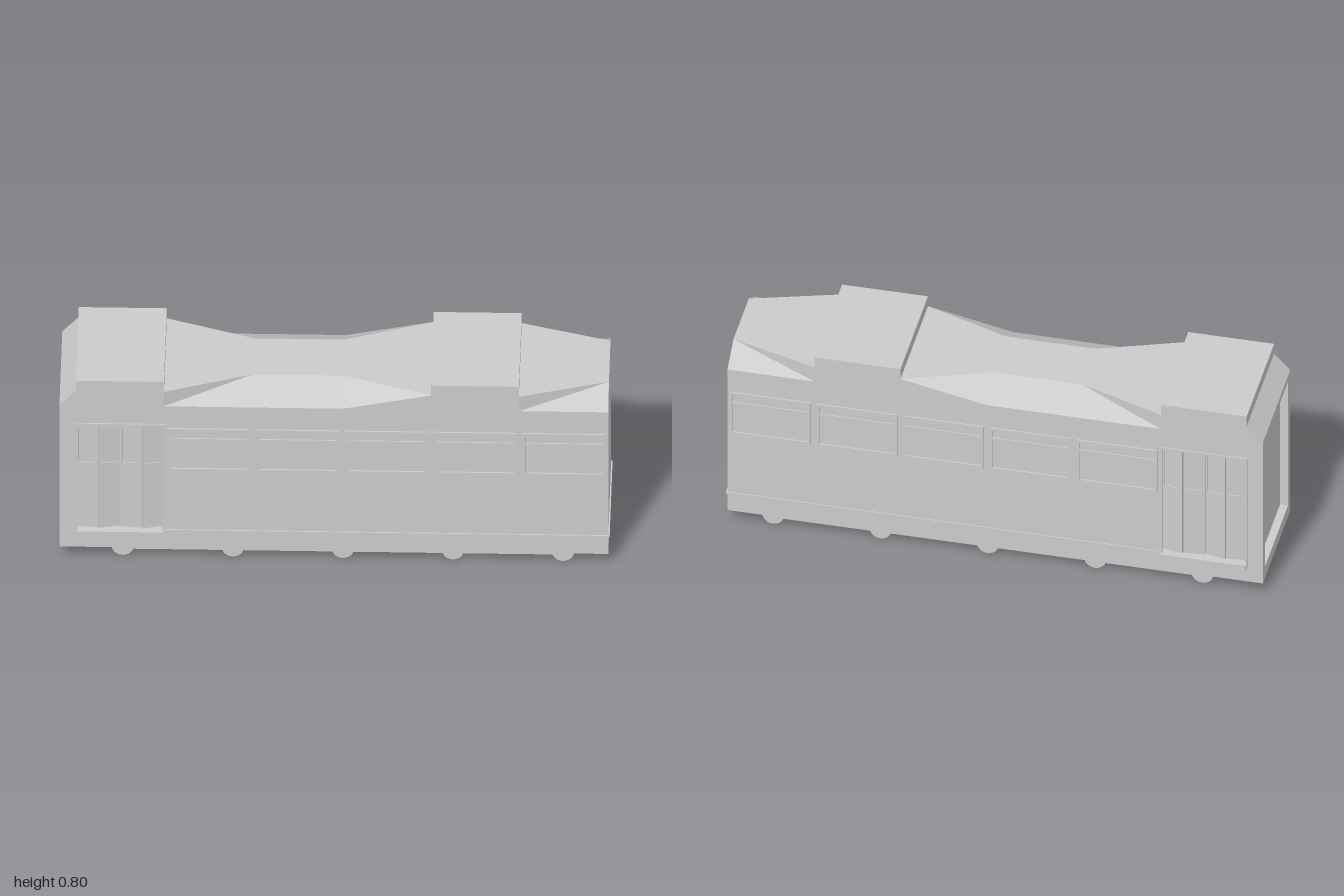
import * as THREE from 'three';

const HALF = 0.225; // half width of the body
const mat = new THREE.MeshStandardMaterial({ color: 0xcccccc, flatShading: true });
const smooth = new THREE.MeshStandardMaterial({ color: 0xcccccc });

function add(parent, name, geometry, material = mat) {
  const mesh = new THREE.Mesh(geometry, material);
  mesh.name = name;
  parent.add(mesh);
  return mesh;
}

// Box given by its minimum and maximum corners
function block(parent, name, [x0, y0, z0], [x1, y1, z1]) {
  const mesh = add(parent, name, new THREE.BoxGeometry(x1 - x0, y1 - y0, Math.abs(z1 - z0)));
  mesh.position.set((x0 + x1) / 2, (y0 + y1) / 2, (z0 + z1) / 2);
  return mesh;
}

const rect = (x0, y0, x1, y1) =>
  [[x0, y0], [x1, y0], [x1, y1], [x0, y1]].map(p => new THREE.Vector2(...p));

// Extruded outline with rectangular holes, centred on z = 0
function plate(points, holes, depth) {
  const shape = new THREE.Shape(points);
  holes.forEach(h => shape.holes.push(new THREE.Path(h)));
  return new THREE.ExtrudeGeometry(shape, { depth, bevelEnabled: false }).translate(0, 0, -depth / 2);
}

// Roof between the raised boxes: sections are [x, half width at the top]
function roofGeometry(sections) {
  const low = 0.69, top = 0.755, pos = [];
  const tri = (a, b, c, flip) => pos.push(...a, ...(flip ? c : b), ...(flip ? b : c));
  for (let i = 0; i < sections.length - 1; i++) {
    const [x0, w0] = sections[i], [x1, w1] = sections[i + 1];
    for (const s of [1, -1]) {
      const a = [x0, low, s * HALF], b = [x1, low, s * HALF];
      const c = [x1, top, s * w1], d = [x0, top, s * w0];
      tri(a, b, c, s < 0);
      tri(a, c, d, s < 0);
      tri(d, c, [x1, top, 0], s < 0);
      tri(d, [x1, top, 0], [x0, top, 0], s < 0);
    }
  }
  // Closed rear end
  const [x, w] = sections[sections.length - 1];
  const a = [x, low, HALF], b = [x, low, -HALF], c = [x, top, -w], d = [x, top, w];
  tri(a, b, c);
  tri(a, c, d);
  const g = new THREE.BufferGeometry();
  g.setAttribute('position', new THREE.Float32BufferAttribute(pos, 3));
  g.computeVertexNormals();
  return g;
}

// Folding door of four leaves, each with a window
function addDoor(parent, s) {
  const door = new THREE.Group();
  door.name = 'foldingDoor';
  parent.add(door);
  for (let i = 0; i < 4; i++) {
    const leaf = new THREE.Group();
    leaf.name = 'doorLeaf';
    const w = 0.04;
    add(leaf, 'leafPanel', plate(rect(-w, 0.12, w, 0.6), [rect(-0.03, 0.42, 0.03, 0.575)], 0.016));
    block(leaf, 'leafGlass', [-0.031, 0.41, -0.004], [0.031, 0.58, 0.004]);
    leaf.position.set(-0.9 + i * 0.08, 0, s * 0.2);
    leaf.rotation.y = s * (i % 2 ? 0.22 : -0.08);
    door.add(leaf);
  }
  block(door, 'doorBacking', [-0.94, 0.12, s * 0.17], [-0.62, 0.605, s * 0.18]);
  const frame = add(door, 'doorFrame',
    plate(rect(-0.945, 0.12, -0.615, 0.61), [rect(-0.935, 0.125, -0.625, 0.6)], 0.012));
  frame.position.z = s * 0.224;
  block(door, 'doorStep', [-0.94, 0.11, s * 0.2], [-0.62, 0.13, s * 0.24]);
}

// Side window: raised frame with a transom
function addWindow(parent, x, s) {
  const frame = add(parent, 'windowFrame',
    plate(rect(-0.15, 0.403, 0.15, 0.592), [rect(-0.14, 0.413, 0.14, 0.582)], 0.012));
  frame.position.set(x, 0, s * 0.225);
  block(parent, 'windowTransom', [x - 0.142, 0.538, s * 0.22], [x + 0.142, 0.548, s * 0.23]);
}

export function createModel() {
  const model = new THREE.Group();
  model.name = 'tramCar';

  // Body with both raised roof boxes and a door opening on each side
  const outline = [
    [-0.97, 0.05], [0.995, 0.05], [0.995, 0.69], [0.67, 0.69], [0.67, 0.8], [0.35, 0.8],
    [0.35, 0.69], [-0.62, 0.69], [-0.62, 0.8], [-0.94, 0.8], [-0.94, 0.755], [-1, 0.69], [-0.97, 0.69],
  ].map(p => new THREE.Vector2(...p));
  add(model, 'body', plate(outline, [rect(-0.94, 0.12, -0.62, 0.605)], HALF * 2));

  // Cab end with a recessed panel
  const cab = add(model, 'cabEndFrame',
    plate(rect(-HALF, 0.05, HALF, 0.69), [rect(-0.19, 0.1, 0.19, 0.665)], 0.03));
  cab.rotation.y = -Math.PI / 2;
  cab.position.x = -0.985;

  // Tapering roof sections
  add(model, 'middleRoof', roofGeometry([[-0.62, HALF], [-0.3, 0.11], [0.03, 0.11], [0.35, HALF]]));
  add(model, 'rearRoof', roofGeometry([[0.67, HALF], [0.995, 0.125]]));

  // Doors, windows, trim and under-rails on both sides
  for (const s of [1, -1]) {
    addDoor(model, s);
    for (let i = 0; i < 5; i++) addWindow(model, -0.457 + i * 0.323, s);
    block(model, 'sideTrim', [-0.62, 0.126, s * 0.22], [1, 0.135, s * 0.23]);
    block(model, 'underRail', [-0.77, 0.027, s * 0.19], [0.83, 0.052, s * 0.202]);
  }
  block(model, 'rearTrim', [0.99, 0.126, -0.23], [1, 0.135, 0.23]);

  // Wheel rollers with hubs
  for (let i = 0; i < 5; i++) {
    for (const [name, r, len] of [['wheelRoller', 0.04, 0.408], ['wheelHub', 0.025, 0.424]]) {
      const wheel = add(model, name, new THREE.CylinderGeometry(r, r, len, 24), smooth);
      wheel.rotation.x = Math.PI / 2;
      wheel.position.set(-0.77 + i * 0.4, 0.04, 0);
    }
  }
  return model;
}
